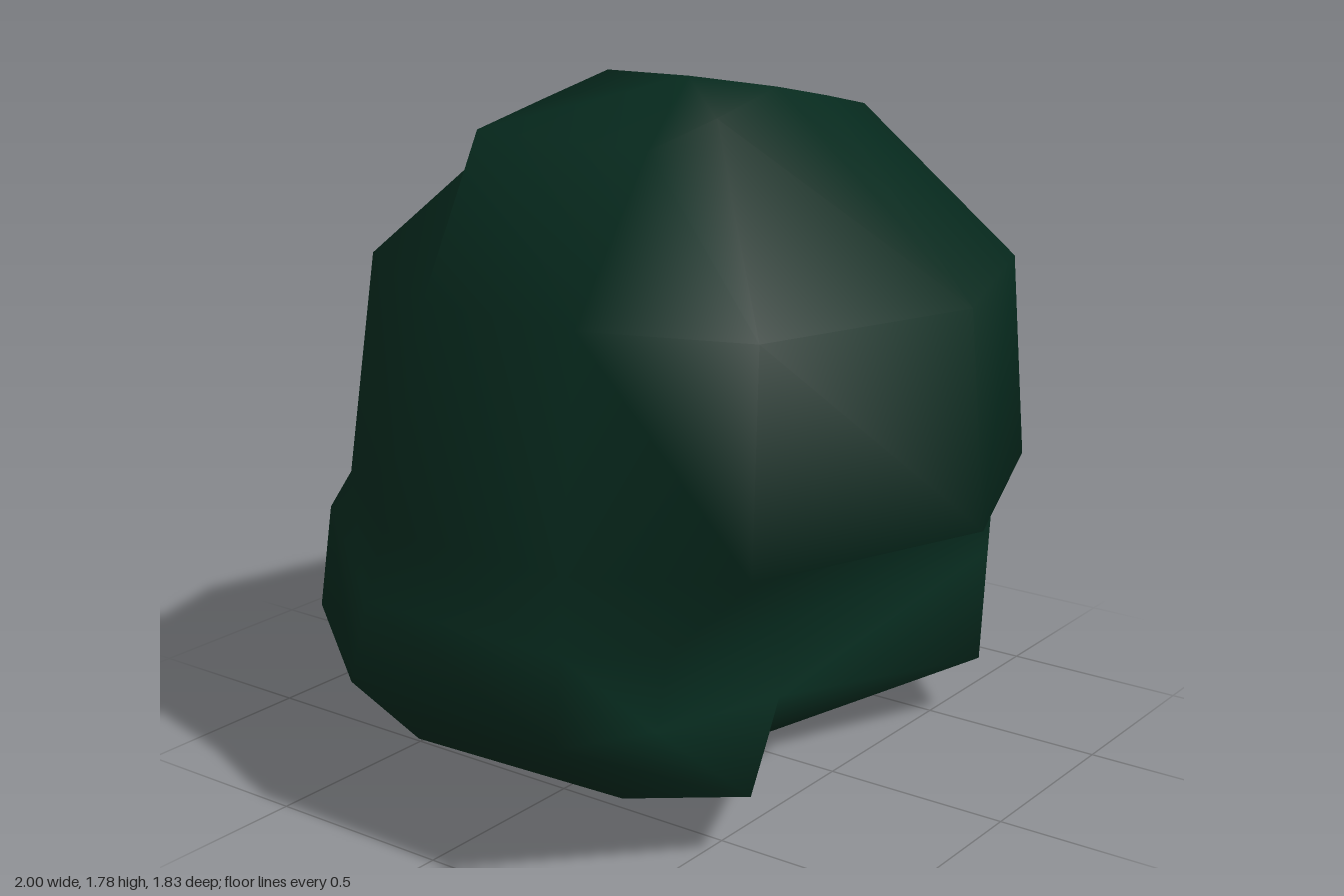
import * as THREE from 'three';

// Half cross-sections from bottom to top, front centre round to back centre.
// Each point is [x, z], with its own height third where it leaves the level.
const level = (y, pts) => pts.map(([x, z, py = y]) => [x, py, z]);
const sections = [
  // underside
  level(0.005, [[0, 0.1], [0.06, 0.06], [0.08, 0], [0.08, -0.1], [0.06, -0.16], [0, -0.2]]),
  level(0.06, [[0, 0.3], [0.33, 0.31], [0.45, 0.12], [0.45, -0.2], [0.28, -0.43], [0, -0.51]]),
  // cheek guards with a recess between them
  level(0.17, [[0, 0.33], [0.55, 0.62], [0.69, 0.34, 0.14], [0.77, -0.25], [0.47, -0.62], [0, -0.76]]),
  level(0.39, [[0, 0.34], [0.78, 0.51], [1, 0.385], [0.98, -0.27], [0.64, -0.71], [0, -0.91]]),
  level(0.58, [[0, 0.42, 0.72], [0.76, 0.53], [0.92, 0.34], [0.92, -0.27], [0.61, -0.69, 0.66], [0, -0.87, 0.66]]),
  // brow edge
  level(0.75, [[0, 0.92], [0.64, 0.68], [0.86, 0.3], [0.86, -0.26], [0.56, -0.66], [0, -0.825]]),
  // dome
  level(1.3, [[0, 0.87], [0.59, 0.66], [0.74, 0.25], [0.74, -0.22], [0.52, -0.59, 1.34], [0, -0.72, 1.35]]),
  level(1.68, [[0, 0.3, 1.78], [0.24, 0.29, 1.73], [0.47, 0.26], [0.47, -0.27], [0.24, -0.25, 1.73], [0, -0.23, 1.78]]),
];

// Mirrors a half section into a closed ring
function fullRing(half) {
  const mirrored = half.slice(1, -1).reverse().map(([x, y, z]) => [-x, y, z]);
  return [...half, ...mirrored];
}

// Skins the rings and closes both ends
function loft(rings, bottom, top) {
  const n = rings[0].length;
  const positions = [...rings.flat(), bottom, top].flat();
  const low = rings.length * n;
  const high = low + 1;
  const last = (rings.length - 1) * n;
  const index = [];
  for (let j = 0; j < n; j++) {
    const k = (j + 1) % n;
    for (let i = 0; i < rings.length - 1; i++) {
      const a = i * n + j, b = i * n + k, c = b + n, d = a + n;
      // mirrored diagonals keep the two sides alike
      if (j < n / 2) index.push(a, b, c, a, c, d);
      else index.push(a, b, d, b, c, d);
    }
    index.push(low, k, j, high, last + j, last + k);
  }
  const geometry = new THREE.BufferGeometry();
  geometry.setAttribute('position', new THREE.Float32BufferAttribute(positions, 3));
  geometry.setIndex(index);
  geometry.computeVertexNormals();
  return geometry;
}

export function createModel() {
  const darkGreen = new THREE.MeshStandardMaterial({ color: 0x06291d });
  darkGreen.name = 'dark green';

  const group = new THREE.Group();
  group.name = 'hood';
  const shell = new THREE.Mesh(
    loft(sections.map(fullRing), [0, 0, -0.05], [0, 1.785, 0.03]),
    darkGreen
  );
  shell.name = 'hoodShell';
  group.add(shell);
  return group;
}
